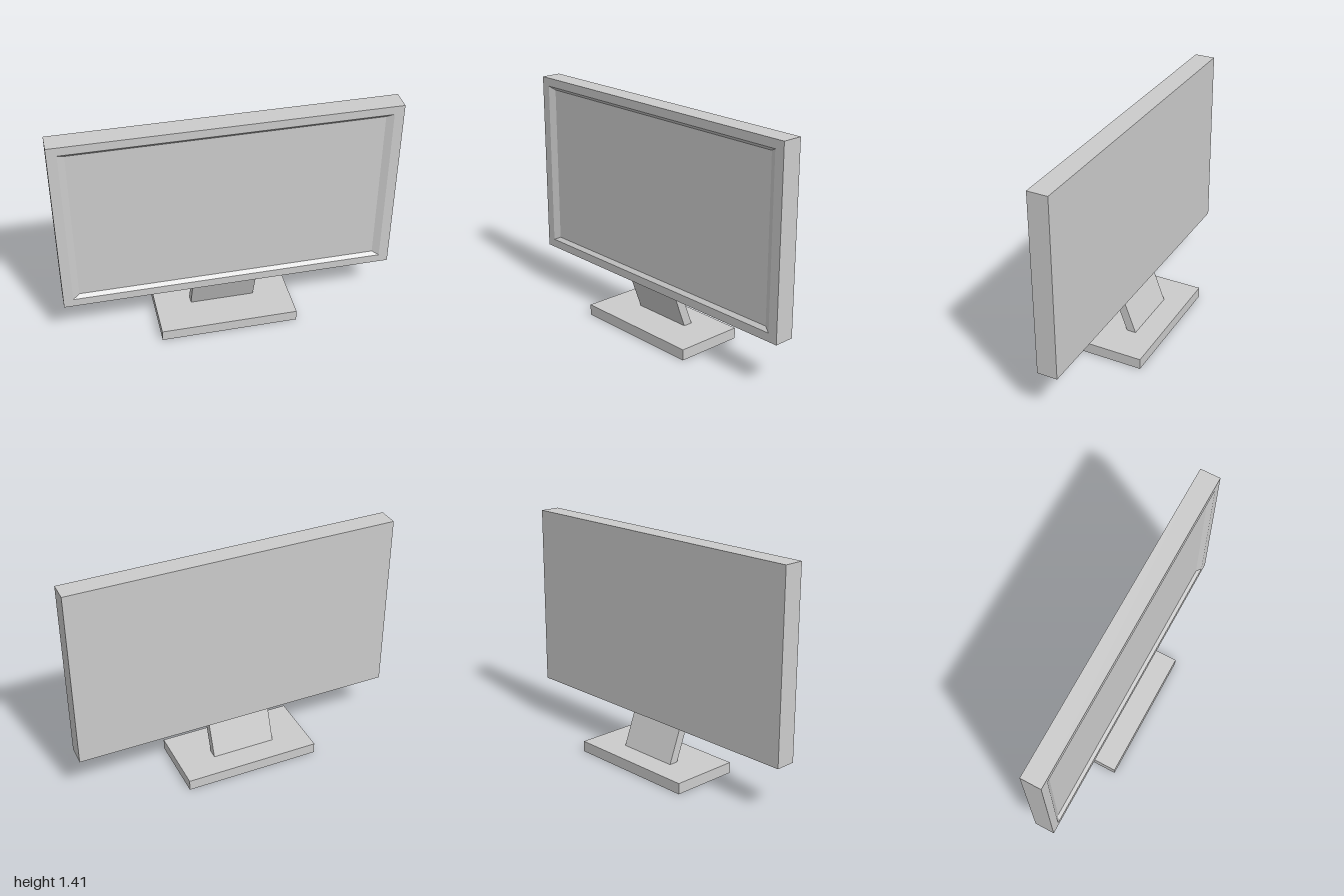
import * as THREE from 'three';

const material = new THREE.MeshStandardMaterial({ color: 0xcccccc, flatShading: true });

function addMesh(parent, name, geometry, x, y, z) {
  const mesh = new THREE.Mesh(geometry, material);
  mesh.name = name;
  mesh.position.set(x, y, z);
  parent.add(mesh);
  return mesh;
}

// Joins rectangular rings [width, height, z] into a closed solid, back to front
function loftRectangles(rings) {
  const corners = [[-0.5, -0.5], [0.5, -0.5], [0.5, 0.5], [-0.5, 0.5]];
  const positions = rings.flatMap(([w, h, z]) => corners.flatMap(([x, y]) => [x * w, y * h, z]));
  const index = [0, 2, 1, 0, 3, 2]; // back cap
  for (let r = 0; r < rings.length - 1; r++) {
    for (let i = 0; i < 4; i++) {
      const a = r * 4 + i, b = r * 4 + (i + 1) % 4;
      index.push(a, b, b + 4, a, b + 4, a + 4);
    }
  }
  const f = (rings.length - 1) * 4;
  index.push(f, f + 1, f + 2, f, f + 2, f + 3); // front cap
  const indexed = new THREE.BufferGeometry();
  indexed.setAttribute('position', new THREE.Float32BufferAttribute(positions, 3));
  indexed.setIndex(index);
  const geometry = indexed.toNonIndexed();
  geometry.computeVertexNormals();
  return geometry;
}

// Box whose top is pushed forward by lean
function leaningBox(w, h, d, lean) {
  const geometry = new THREE.BoxGeometry(w, h, d);
  const p = geometry.attributes.position;
  for (let i = 0; i < p.count; i++) {
    p.setZ(i, p.getZ(i) + lean * (p.getY(i) / h + 0.5));
  }
  geometry.computeVertexNormals();
  return geometry;
}

export function createModel() {
  const monitor = new THREE.Group();
  monitor.name = 'monitor';
  monitor.rotation.y = THREE.MathUtils.degToRad(-10);

  // Flat foot
  addMesh(monitor, 'base', new THREE.BoxGeometry(0.842, 0.067, 0.427), -0.014, 0.0335, 0);

  // Slanted support between foot and screen
  addMesh(monitor, 'neck', leaningBox(0.396, 0.218, 0.058, 0.081), -0.016, 0.175, -0.04);

  // Housing with a narrow border and a bevelled, recessed display
  const screen = loftRectangles([
    [2.009, 1.128, -0.0625],
    [2.009, 1.128, 0.0625],
    [1.893, 1.025, 0.0625],
    [1.812, 0.983, 0.042],
  ]);
  addMesh(monitor, 'screen', screen, 0.0075, 0.847, 0.042);

  const model = new THREE.Group();
  model.name = 'desktopMonitor';
  model.add(monitor);
  return model;
}
